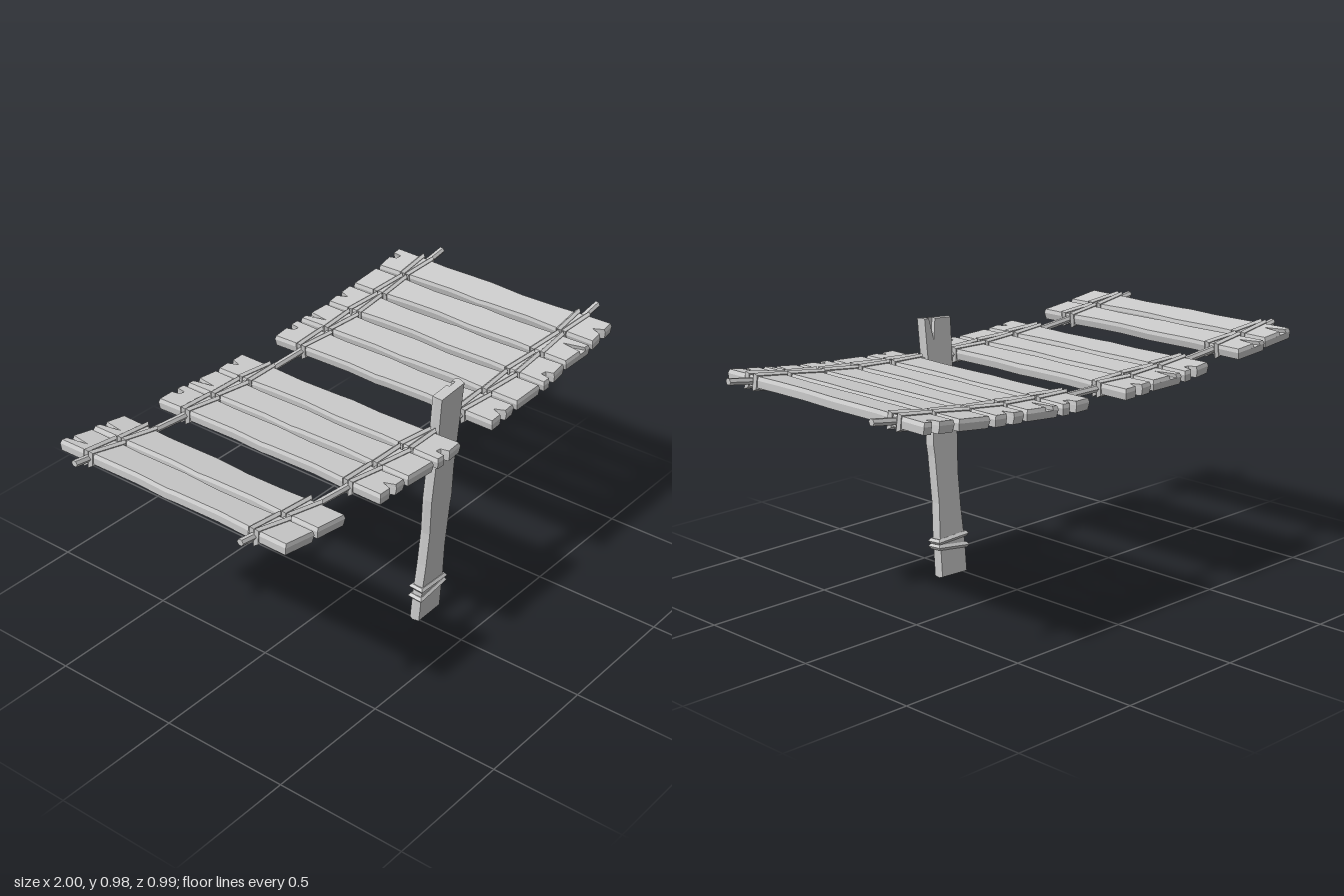
import * as THREE from 'three';

const material = new THREE.MeshStandardMaterial({ color: 0xcccccc, flatShading: true, side: THREE.DoubleSide });
const HALF_THICK = 0.02;
const ropeY = (x) => 0.825 + 0.08 * x * x;

// Plank outlines as [x, z], running round from the back left corner.
const left = [[-0.064, 0.33], [-0.057, 0.2], [-0.062, 0.02], [-0.066, -0.02], [-0.059, -0.15], [-0.064, -0.33]];
const right = [[0.066, -0.38], [0.06, -0.25], [0.065, -0.05], [0.055, 0.1], [0.058, 0.24], [0.067, 0.38]];
const notchedBack = [[-0.07, -0.486], [0, -0.492], [0.008, -0.462], [0.03, -0.458], [0.036, -0.495], [0.069, -0.494]];
const notchedFront = [[0.07, 0.487], [0.022, 0.49], [0.004, 0.45], [-0.012, 0.49], [-0.066, 0.492]];
const plainBack = [[-0.068, -0.494], [0.068, -0.482]];
const chippedBack = [[-0.068, -0.494], [-0.046, -0.492], [-0.027, -0.41], [-0.014, -0.489], [0.068, -0.482]];
const plainFront = [[0.068, 0.49], [-0.066, 0.486]];

const outlines = {
  notched: [[...notchedBack, ...right, ...notchedFront, ...left], null],
  chipped: [
    [...plainBack, ...right, ...plainFront, ...left],
    [...chippedBack, ...right, ...plainFront, ...left],
  ],
};

function mesh(geometry, name) {
  const m = new THREE.Mesh(geometry, material);
  m.name = name;
  return m;
}

// One layer of a plank; its outer face is drawn in to chamfer the edges.
function slab(points, y0, y1, outerY) {
  const shape = new THREE.Shape(points.map(([x, z]) => new THREE.Vector2(x, z)));
  const g = new THREE.ExtrudeGeometry(shape, { depth: y1 - y0, bevelEnabled: false });
  g.rotateX(Math.PI / 2).translate(0, y1, 0);
  const p = g.attributes.position;
  for (let i = 0; i < p.count; i++) {
    if (Math.abs(p.getY(i) - outerY) < 1e-5) {
      p.setX(i, p.getX(i) * 0.93);
      p.setZ(i, p.getZ(i) * 0.993);
    }
  }
  g.computeVertexNormals();
  return g;
}

// A rope band pulled square round a plank, optionally slanted.
function band(z, slant) {
  const r = 0.011, hw = 0.065, ht = HALF_THICK;
  const g = new THREE.TorusGeometry(1, r, 5, 4).rotateZ(Math.PI / 4);
  const p = g.attributes.position;
  for (let i = 0; i < p.count; i++) {
    const x = p.getX(i), y = p.getY(i);
    const out = Math.hypot(x, y) - 1;
    const bx = Math.sign(x) * (hw + out);
    p.setXYZ(i, bx, Math.sign(y) * (ht + out), p.getZ(i) + z + slant * bx);
  }
  g.computeVertexNormals();
  return mesh(g, 'ropeBand');
}

function lashing(z) {
  const group = new THREE.Group();
  group.name = 'lashing';
  group.add(band(z - 0.016, -0.03), band(z + 0.016, 0.13));
  return group;
}

function plank(type, name, lashings) {
  const group = new THREE.Group();
  group.name = name;
  const [lower, upper] = outlines[type];
  group.add(
    mesh(slab(lower, -HALF_THICK, 0.006, -HALF_THICK), 'plankLower'),
    mesh(slab(upper || lower, 0.006, HALF_THICK, HALF_THICK), 'plankUpper'),
  );
  lashings.forEach((z) => group.add(lashing(z)));
  return group;
}

export function createModel() {
  const model = new THREE.Group();
  model.name = 'brokenRopeBridge';

  // Two sagging ropes
  for (const z of [-0.36, 0.36]) {
    const g = new THREE.CylinderGeometry(0.013, 0.013, 2, 6, 16).rotateZ(Math.PI / 2);
    const p = g.attributes.position;
    for (let i = 0; i < p.count; i++) p.setY(i, p.getY(i) + ropeY(p.getX(i)));
    g.computeVertexNormals();
    const rope = mesh(g, z > 0 ? 'frontRope' : 'backRope');
    rope.position.z = z;
    model.add(rope);
  }

  // Deck planks: x, type, turned end for end
  const deck = [
    [-0.868, 'chipped', false], [-0.715, 'chipped', false],
    [-0.405, 'notched', false], [-0.25, 'chipped', false], [-0.095, 'notched', true],
    [0.215, 'notched', false], [0.372, 'chipped', false], [0.528, 'notched', true],
    [0.682, 'chipped', true], [0.836, 'notched', false],
  ];
  for (const [x, type, turned] of deck) {
    const board = plank(type, 'deckPlank', [-0.36, 0.36]);
    board.rotation.y = turned ? Math.PI : 0;
    const holder = new THREE.Group();
    holder.name = 'deckPlankHolder';
    holder.add(board);
    holder.position.set(x, ropeY(x), 0);
    holder.rotation.z = Math.atan(0.16 * x);
    model.add(holder);
  }

  // Loose plank hanging from the front rope
  const hanging = plank('chipped', 'hangingPlank', [0.36]);
  hanging.rotation.set(0.08 - Math.PI / 2, Math.PI, 0);
  hanging.position.set(0.055, 0.49, 0.333);
  model.add(hanging);

  return model;
}
